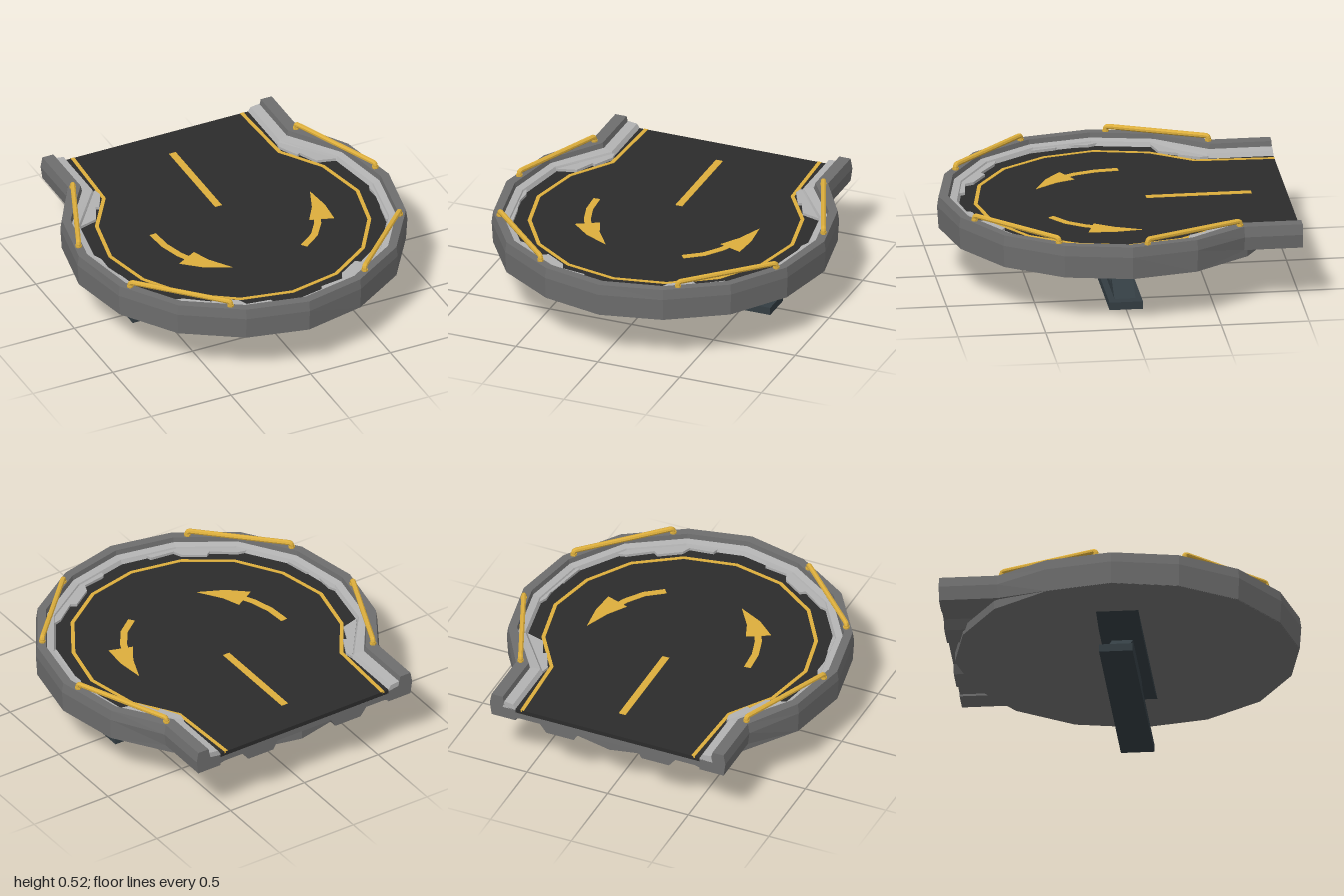
import * as THREE from 'three';

const material = (color) => new THREE.MeshStandardMaterial({ color, flatShading: true, side: THREE.DoubleSide });
const GREY = material(0x6e6e6e);
const LIGHT = material(0xb2b2b2);
const DECK = material(0x2b2b2b);
const YELLOW = material(0xdcae3c);
const STEEL = material(0x333d42);
const DECK_Y = 0.42;

// Half outlines [x, z], from the front middle round to the rear neck
const OUTER = [[0, 0.99], [0.36, 0.91], [0.69, 0.7], [0.905, 0.38], [0.98, 0], [0.905, -0.38], [0.73, -0.67], [0.73, -1]];
const INNER = [[0, 0.865], [0.325, 0.8], [0.61, 0.62], [0.8, 0.335], [0.86, 0], [0.8, -0.33], [0.57, -0.62], [0.57, -1]];
const LINE = [[0, 0.77], [0.3, 0.71], [0.55, 0.54], [0.71, 0.29], [0.775, 0], [0.71, -0.31], [0.55, -0.55], [0.53, -1]];

const mirrored = (half) => [...half.slice(1).reverse().map(([x, z]) => [-x, z]), ...half];

export function createModel() {
  const group = new THREE.Group();

  function add(name, geometry, mat) {
    const mesh = new THREE.Mesh(geometry, mat);
    mesh.name = name;
    group.add(mesh);
    return mesh;
  }

  // Plan polygon [x, z] made into a slab between two heights
  function slab(points, y0, y1) {
    const shape = new THREE.Shape(points.map(([x, z]) => new THREE.Vector2(x, -z)));
    const g = new THREE.ExtrudeGeometry(shape, { depth: y1 - y0, bevelEnabled: false });
    return g.rotateX(-Math.PI / 2).translate(0, y0, 0);
  }

  // Front polygon [x, y] extruded between two z values
  function frontSlab(points, z0, z1, holes = []) {
    const vec = (list) => list.map(([x, y]) => new THREE.Vector2(x, y));
    const shape = new THREE.Shape(vec(points));
    holes.forEach((h) => shape.holes.push(new THREE.Path(vec(h))));
    return new THREE.ExtrudeGeometry(shape, { depth: z1 - z0, bevelEnabled: false }).translate(0, 0, z0);
  }

  // Closed profile swept between outer and inner outlines; [t, y] with y null for the underside
  function sweep(profile) {
    const outer = mirrored(OUTER), inner = mirrored(INNER);
    const n = profile.length, last = outer.length - 1;
    const pos = [], index = [];
    outer.forEach(([x, z], i) => {
      const under = i < 2 || i > last - 2 ? 0.34 : 0.29;
      for (const [t, y] of profile) {
        pos.push(x + t * (inner[i][0] - x), y ?? under, z + t * (inner[i][1] - z));
      }
    });
    for (let i = 0; i < last; i++) {
      for (let j = 0; j < n; j++) {
        const a = i * n + j, b = i * n + (j + 1) % n;
        index.push(a, a + n, b, b, a + n, b + n);
      }
    }
    for (let j = 1; j < n - 1; j++) {
      index.push(0, j, j + 1, last * n, last * n + j + 1, last * n + j);
    }
    const g = new THREE.BufferGeometry();
    g.setAttribute('position', new THREE.Float32BufferAttribute(pos, 3));
    g.setIndex(index);
    g.computeVertexNormals();
    return g;
  }

  // Polygon round an open path, for painted stripes
  function stripe(path, width) {
    const left = [], right = [];
    path.forEach((p, i) => {
      const a = path[Math.max(i - 1, 0)], b = path[Math.min(i + 1, path.length - 1)];
      const dx = b[0] - a[0], dz = b[1] - a[1], k = width / 2 / Math.hypot(dx, dz);
      left.push([p[0] - dz * k, p[1] + dx * k]);
      right.unshift([p[0] + dz * k, p[1] - dx * k]);
    });
    return [...left, ...right];
  }
  const paint = (name, points) => add(name, slab(points, DECK_Y - 0.01, DECK_Y + 0.003), YELLOW);

  // Platform: round underbody, raised rim, inner curb and road deck
  const front = OUTER.slice(0, 5);
  const round = mirrored([...front, ...front.slice(0, 4).reverse().map(([x, z]) => [x, -z])]).slice(1);
  add('underbody', slab(round.map(([x, z]) => [x * 0.99, z * 0.985]), 0.289, 0.34), GREY);
  add('rim', sweep([[0.07, null], [0, 0.42], [0.07, 0.48], [0.5, 0.48], [0.58, 0.42], [1, 0.41], [1, null]]), GREY);
  add('innerCurb', sweep([[0.5, 0.41], [0.56, 0.452], [0.9, 0.445], [1, 0.42], [1, 0.41]]), LIGHT);
  add('deck', slab(mirrored(INNER), 0.395, DECK_Y), DECK);

  // Stepped curb panels
  const panels = [
    [[0.15, 0.845], [0.16, 0.81], [0.3, 0.79], [0.32, 0.74], [0.44, 0.66], [0.47, 0.68], [0.6, 0.585], [0.66, 0.57], [0.62, 0.63], [0.33, 0.81]],
    [[0.865, -0.04], [0.84, 0.02], [0.845, 0.19], [0.815, 0.21], [0.785, 0.35], [0.81, 0.36], [0.87, 0]],
    [[0.57, -0.63], [0.56, -0.58], [0.62, -0.46], [0.64, -0.47], [0.69, -0.36], [0.8, -0.33]],
  ];
  for (const side of [-1, 1]) {
    for (const p of panels) add('curbPanel', slab(p.map(([x, z]) => [x * side, z]), 0.4, 0.436), LIGHT);
  }

  // Rear approach with teeth under its edge
  const teeth = [[0, 0.36], [0.18, 0.36], [0.21, 0.31], [0.38, 0.31], [0.42, 0.36], [0.54, 0.36], [0.6, 0.345], [0.6, 0.396]];
  add('rearApproach', frontSlab(mirrored(teeth), -1, -0.62), GREY);

  // Road markings
  paint('borderLine', stripe(mirrored(LINE), 0.022));
  paint('centreDash', [[-0.021, -0.8], [0.021, -0.8], [0.021, -0.2], [-0.021, -0.2]]);
  paint('leftArrowShaft', stripe([[0.26, 0.375], [0.36, 0.3], [0.43, 0.2], [0.455, 0.14]], 0.04));
  paint('leftArrowHead', [[0.4, 0.15], [0.535, 0.195], [0.547, 0.05], [0.53, -0.11], [0.47, 0.04]]);
  paint('rightArrowShaft', stripe([[-0.46, -0.1], [-0.45, 0.03], [-0.415, 0.15], [-0.38, 0.22]], 0.04));
  paint('rightArrowHead', [[-0.455, 0.235], [-0.33, 0.165], [-0.29, 0.27], [-0.2, 0.4], [-0.345, 0.33]]);

  // Guard rails: bent tubes standing on the rim
  function rail(a, b) {
    const at = (t, y) => new THREE.Vector3(a[0] + (b[0] - a[0]) * t, y, a[1] + (b[1] - a[1]) * t);
    const path = new THREE.CurvePath();
    const [p0, p1, p2, p3] = [at(0, 0.46), at(0, 0.495), at(0.03, 0.51), at(0.97, 0.51)];
    const p4 = at(1, 0.495);
    path.add(new THREE.LineCurve3(p0, p1));
    path.add(new THREE.QuadraticBezierCurve3(p1, at(0, 0.51), p2));
    path.add(new THREE.LineCurve3(p2, p3));
    path.add(new THREE.QuadraticBezierCurve3(p3, at(1, 0.51), p4));
    path.add(new THREE.LineCurve3(p4, at(1, 0.46)));
    add('guardRail', new THREE.TubeGeometry(path, 90, 0.015, 8), YELLOW);
    for (const t of [0, 1]) {
      const foot = add('railFoot', new THREE.CylinderGeometry(0.019, 0.019, 0.012, 8), YELLOW);
      foot.position.copy(at(t, 0.484));
    }
  }
  for (const side of [-1, 1]) {
    rail([0.42 * side, 0.83], [0.845 * side, 0.405]);
    rail([0.7 * side, -0.645], [0.93 * side, -0.09]);
  }

  // Stand: base beam, triangulated truss and tapered top plate
  add('base', new THREE.BoxGeometry(1.36, 0.045, 0.19).translate(0, 0.0225, 0), STEEL);
  const holeR = [[0.05, 0.085], [0.47, 0.085], [0.26, 0.19]];
  const holeL = holeR.map(([x, y]) => [-x, y]);
  add('truss', frontSlab(
    [[-0.63, 0.04], [0.63, 0.04], [0.27, 0.258], [-0.27, 0.258]], -0.06, 0.06,
    [holeR, holeL, [[-0.2, 0.218], [0.2, 0.218], [0, 0.12]]],
  ), STEEL);
  add('topPlate', frontSlab([[-0.43, 0.256], [0.43, 0.256], [0.6, 0.29], [-0.6, 0.29]], -0.12, 0.12), STEEL);

  return group;
}
